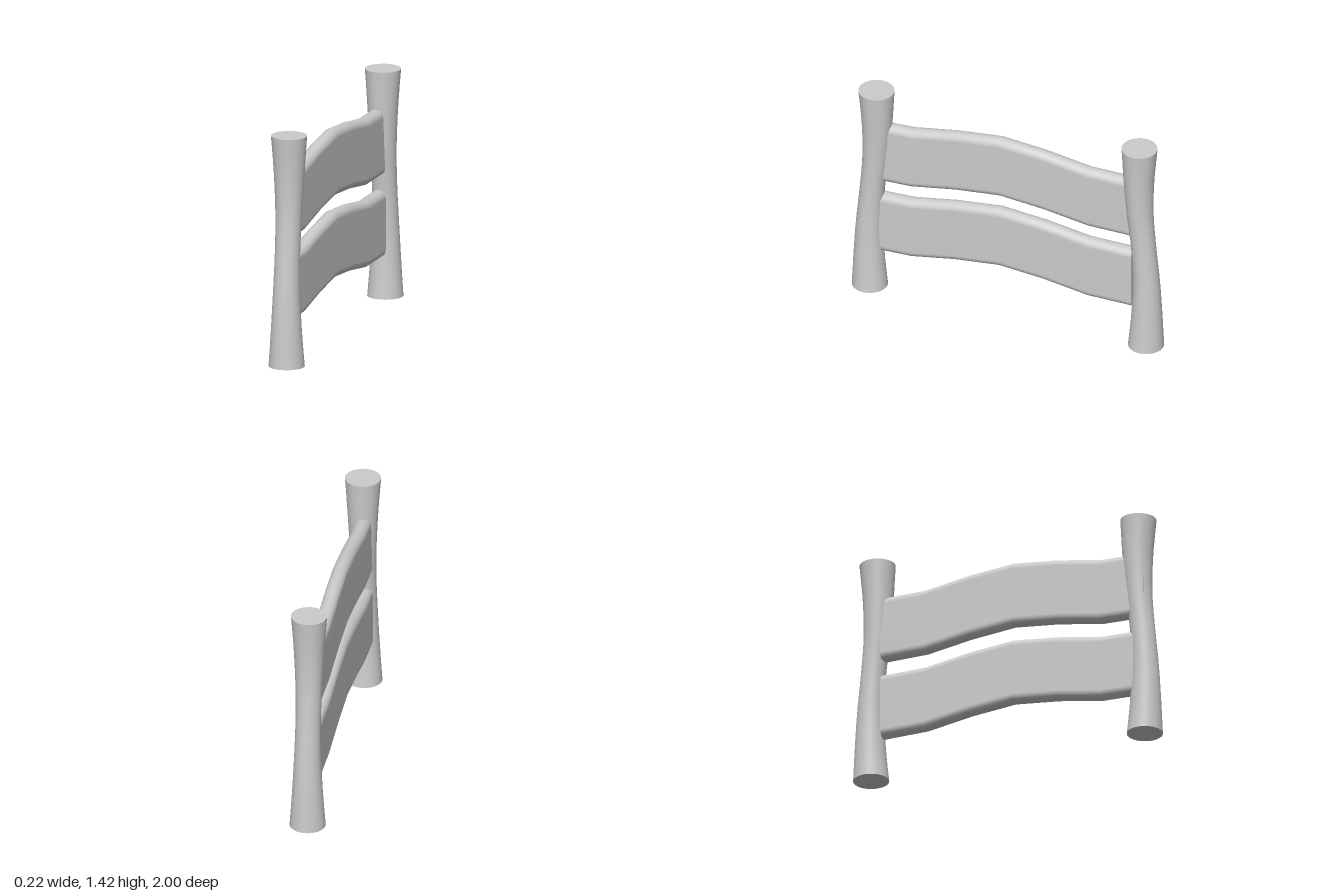
import * as THREE from 'three';

// Smooth skin through equal-sized rings (counter-clockwise about the path), with flat end caps.
function loft(rings) {
  const n = rings[0].length;
  const pts = rings.flat();
  const index = [];
  for (let i = 0; i < rings.length - 1; i++) {
    for (let j = 0; j < n; j++) {
      const k = (j + 1) % n;
      const a = i * n + j, b = i * n + k, c = a + n, d = b + n;
      index.push(a, b, d, a, d, c);
    }
  }
  const cap = (ring, flip) => {
    const start = pts.length;
    pts.push(...ring);
    for (let j = 1; j < n - 1; j++) {
      if (flip) index.push(start, start + j + 1, start + j);
      else index.push(start, start + j, start + j + 1);
    }
  };
  cap(rings[0], true);
  cap(rings[rings.length - 1], false);
  const geometry = new THREE.BufferGeometry().setFromPoints(pts);
  geometry.setIndex(index);
  geometry.computeVertexNormals();
  return geometry;
}

// Waisted post whose centre line sways gently along z.
function postGeometry() {
  const height = 1.42, sides = 40, steps = 16;
  const path = new THREE.CatmullRomCurve3([
    [0, 0.89], [0.2, 0.895], [0.45, 0.893], [0.72, 0.873],
    [0.9, 0.855], [1.05, 0.847], [1.2, 0.844], [height, 0.848],
  ].map(([y, z]) => new THREE.Vector3(0, y, z)));
  const rings = [];
  for (let i = 0; i <= steps; i++) {
    const c = path.getPoint(i / steps);
    const t = c.y / height * 2 - 1;
    const r = 0.076 + 0.033 * Math.pow(Math.abs(t), 1.7);
    rings.push(Array.from({ length: sides }, (_, j) => {
      const a = j / sides * Math.PI * 2;
      return new THREE.Vector3(r * Math.cos(a), c.y, c.z - r * Math.sin(a));
    }));
  }
  return loft(rings);
}

// Flat board with rounded edges, arched in straight segments.
function slatGeometry() {
  const halfHeight = 0.208, r = 0.048, centreX = -0.015, arcSteps = 14;
  const section = [];
  for (const side of [1, -1]) {
    for (let i = 0; i <= arcSteps; i++) {
      const a = i / arcSteps * Math.PI;
      section.push([centreX + side * r * Math.cos(a), side * (halfHeight - r + r * Math.sin(a))]);
    }
  }
  const rise = [0, 0.005, 0.053, 0.082, 0.053, 0.005, 0];
  return loft(rise.map((dy, i) => {
    const z = 0.05 + (i - 3) * 0.285;
    return section.map(([x, y]) => new THREE.Vector3(x, y + dy, z));
  }));
}

export function createModel() {
  const model = new THREE.Group();
  model.name = 'chairBack';
  const material = new THREE.MeshStandardMaterial({ color: 0xcccccc });
  const add = (name, geometry) => {
    const mesh = new THREE.Mesh(geometry, material);
    mesh.name = name;
    model.add(mesh);
    return mesh;
  };

  // Pair of posts
  const post = postGeometry();
  add('frontPost', post);
  add('backPost', post).rotation.y = Math.PI;

  // Two arched slats between the posts
  const slat = slatGeometry();
  add('lowerSlat', slat).position.y = 0.466;
  add('upperSlat', slat).position.y = 0.976;

  return model;
}
